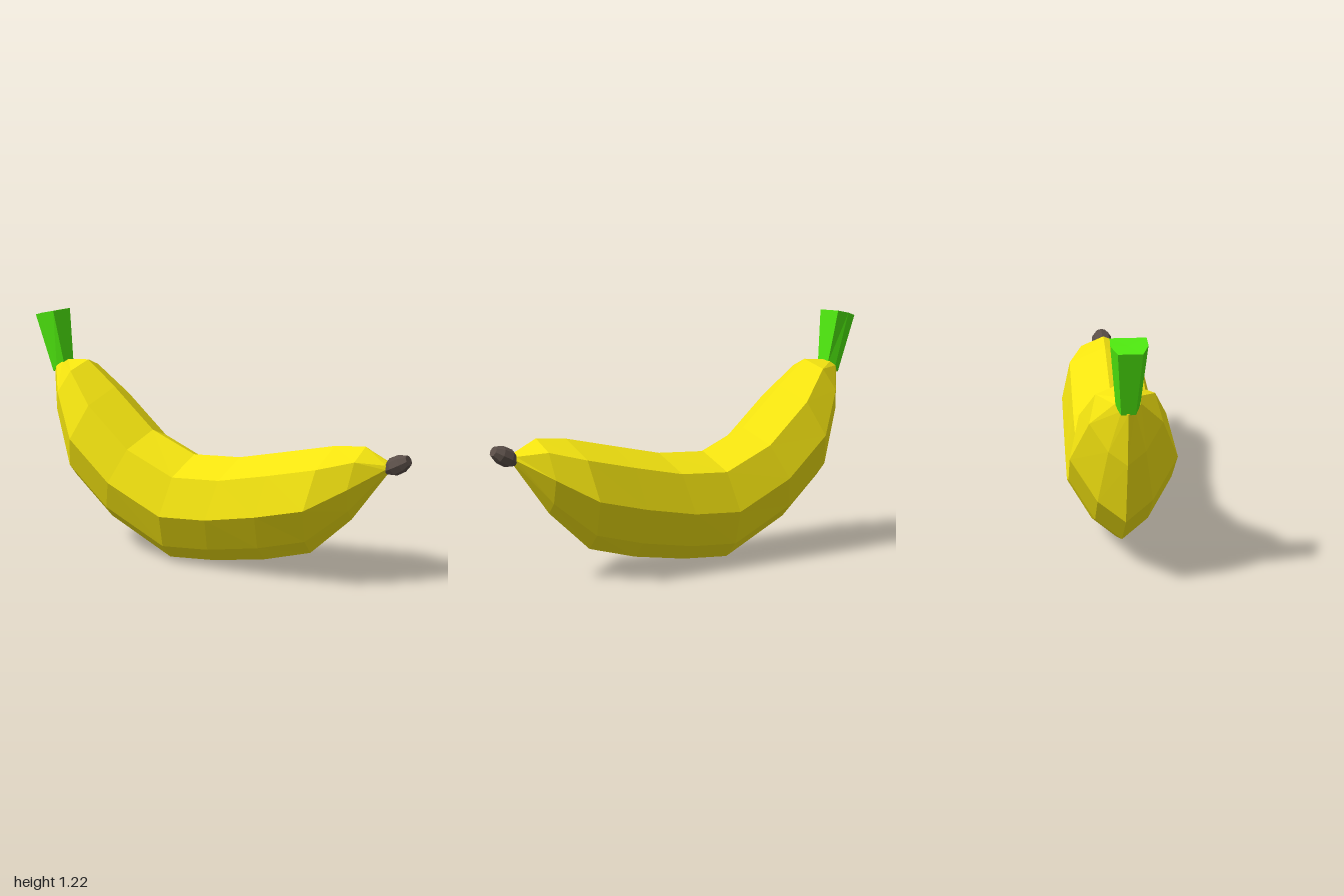
import * as THREE from 'three';

const material = (color) => new THREE.MeshStandardMaterial({ color, flatShading: true });

// Closed solid through a list of rings, each a list of [x, y, z]; ends are capped with fans.
function loft(rings) {
  const n = rings[0].length;
  const out = [];
  const centre = (ring) => [0, 1, 2].map((k) => ring.reduce((s, p) => s + p[k], 0) / n);
  const first = rings[0], last = rings[rings.length - 1];
  const c0 = centre(first), c1 = centre(last);
  for (let j = 0; j < n; j++) {
    const k = (j + 1) % n;
    for (let i = 0; i < rings.length - 1; i++) {
      const a = rings[i][j], b = rings[i][k], c = rings[i + 1][k], d = rings[i + 1][j];
      out.push(...a, ...b, ...c, ...a, ...c, ...d);
    }
    out.push(...c0, ...first[k], ...first[j], ...c1, ...last[j], ...last[k]);
  }
  const geometry = new THREE.BufferGeometry();
  geometry.setAttribute('position', new THREE.Float32BufferAttribute(out, 3));
  geometry.computeVertexNormals();
  return geometry;
}

function addMesh(group, name, geometry, color) {
  const mesh = new THREE.Mesh(geometry, material(color));
  mesh.name = name;
  group.add(mesh);
  return mesh;
}

export function createModel() {
  const model = new THREE.Group();
  model.name = 'banana';

  // Peel: each section is top x, top y, bottom x, bottom y, half width
  const sections = [
    [-0.84, 0.97, -0.92, 0.91, 0.055],
    [-0.72, 0.977, -0.895, 0.67, 0.155],
    [-0.565, 0.85, -0.81, 0.365, 0.235],
    [-0.345, 0.65, -0.595, 0.17, 0.235],
    [-0.11, 0.55, -0.25, 0, 0.235],
    [0.14, 0.563, 0, 0.02, 0.235],
    [0.385, 0.617, 0.275, 0.067, 0.235],
    [0.63, 0.672, 0.517, 0.137, 0.235],
    [0.78, 0.685, 0.72, 0.33, 0.15],
    [0.89, 0.622, 0.89, 0.57, 0.04],
  ];
  // Eight-sided outline: fraction from top to bottom, fraction of half width
  const outline = [[0, 0], [0.14, 0.81], [0.49, 1], [0.83, 0.51],
    [1, 0], [0.83, -0.51], [0.49, -1], [0.14, -0.81]];
  const peelRings = sections.map(([tx, ty, bx, by, w]) =>
    outline.map(([t, s]) => [tx + (bx - tx) * t, ty + (by - ty) * t, s * w]));
  addMesh(model, 'peel', loft(peelRings), 0xf4e410);

  // Stem: six-sided, flaring upward; mirrored front to back
  const mirrorRing = (half) => [...half, ...half.map(([x, y, z]) => [x, y, -z]).reverse()];
  const stemRings = [
    [[-0.915, 0.905, 0.03], [-0.88, 0.93, 0.05], [-0.84, 0.955, 0.042]],
    [[-1, 1.195, 0.05], [-0.94, 1.21, 0.076], [-0.875, 1.222, 0.074]],
  ].map(mirrorRing);
  addMesh(model, 'stem', loft(stemRings), 0x4ee80f);

  // Blossom tip: small dark faceted barrel, slightly flattened
  const tipProfile = [[0, 0], [0.032, 0], [0.055, 0.035], [0.053, 0.08], [0.032, 0.115], [0, 0.115]]
    .map(([r, y]) => new THREE.Vector2(r, y));
  const tip = addMesh(model, 'blossomTip', new THREE.LatheGeometry(tipProfile, 8), 0x5a4e48);
  tip.scale.x = 0.78;
  tip.position.set(0.884, 0.589, 0);
  tip.rotation.z = -THREE.MathUtils.degToRad(62);

  return model;
}
